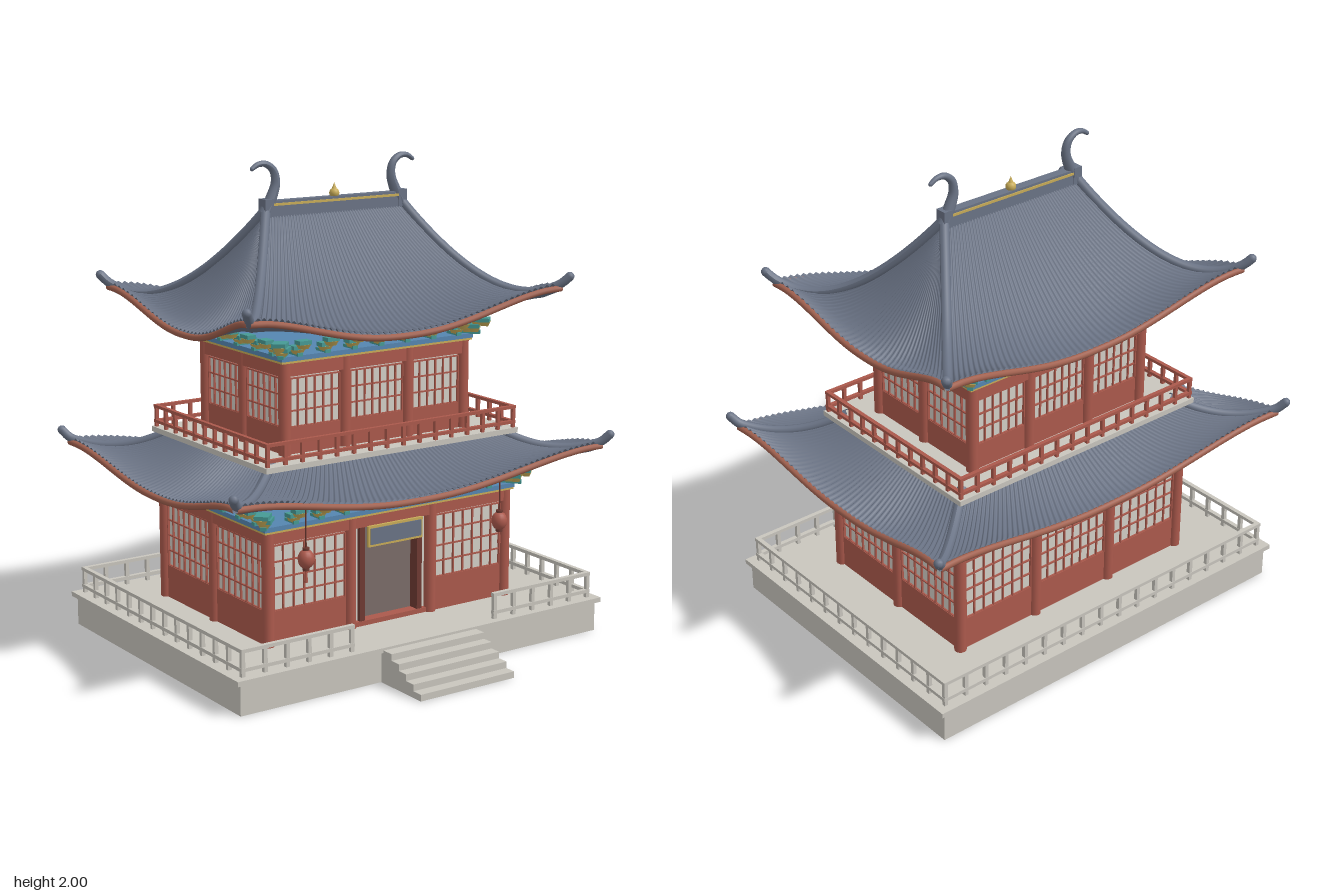
import * as THREE from 'three';
import { mergeGeometries } from 'three/addons/utils/BufferGeometryUtils.js';

const mat = (name, color, side = THREE.FrontSide) => {
  const m = new THREE.MeshStandardMaterial({ color, side });
  m.name = name;
  return m;
};

// Box geometry given by its minimum and maximum on each axis
const box = (x0, x1, y0, y1, z0, z1) =>
  new THREE.BoxGeometry(x1 - x0, y1 - y0, z1 - z0).translate((x0 + x1) / 2, (y0 + y1) / 2, (z0 + z1) / 2);
const post = (x, z, r, y0, y1, sides = 14) =>
  new THREE.CylinderGeometry(r, r, y1 - y0, sides).translate(x, (y0 + y1) / 2, z);

function add(group, name, material, ...geos) {
  const mesh = new THREE.Mesh(geos.length > 1 ? mergeGeometries(geos) : geos[0], material);
  mesh.name = name;
  group.add(mesh);
  return mesh;
}

// Tube whose radius runs from r0 to r1
function taperedTube(points, segs, r0, r1) {
  const curve = new THREE.CatmullRomCurve3(points);
  const geo = new THREE.TubeGeometry(curve, segs, 1, 10);
  const p = geo.attributes.position, v = new THREE.Vector3();
  for (let i = 0; i < p.count; i++) {
    const s = Math.floor(i / 11) / segs, c = curve.getPointAt(s);
    v.fromBufferAttribute(p, i).sub(c).multiplyScalar(r0 + (r1 - r0) * s).add(c);
    p.setXYZ(i, v.x, v.y, v.z);
  }
  geo.computeVertexNormals();
  return geo;
}

// Grid surface from a function of (u, t), facing up or down
function sheet(nu, nt, fn, flip) {
  const pos = [], uv = [], idx = [];
  for (let i = 0; i <= nu; i++) for (let j = 0; j <= nt; j++) {
    pos.push(...fn(i, j / nt).toArray());
    uv.push(i / nu, j / nt);
    if (i === nu || j === nt) continue;
    const a = i * (nt + 1) + j, b = a + 1, c = a + nt + 1, d = c + 1;
    idx.push(...(flip ? [a, c, b, c, d, b] : [a, b, c, c, b, d]));
  }
  const geo = new THREE.BufferGeometry();
  geo.setAttribute('position', new THREE.Float32BufferAttribute(pos, 3));
  geo.setAttribute('uv', new THREE.Float32BufferAttribute(uv, 2));
  geo.setIndex(idx);
  geo.computeVertexNormals();
  return geo;
}

export function createModel() {
  const M = {
    tile: mat('slate tile', 0x6a7385, THREE.DoubleSide), red: mat('red timber', 0xab594c),
    eave: mat('terracotta eave', 0xa0604e), stone: mat('pale stone', 0xc8c5bd),
    paper: mat('window paper', 0xd2cec6), dark: mat('dark timber', 0x6e3a32),
    door: mat('door shadow', 0x7a6c68), gold: mat('gold', 0xc8ac58),
    teal: mat('teal paint', 0x469a94), blue: mat('blue paint', 0x5585b0),
  };
  const model = new THREE.Group();
  model.name = 'pavilion';
  const house = new THREE.Group();
  house.name = 'house';
  house.position.z = -0.11;
  model.add(house);

  // Runs a builder once per side; local +z is outward, a = half width, d = distance out
  const sides = (name, hx, hz, build) => {
    for (let k = 0; k < 4; k++) {
      const g = new THREE.Group();
      g.name = name + ['Front', 'Left', 'Back', 'Right'][k];
      g.rotation.y = k * Math.PI / 2;
      house.add(g);
      build(g, k % 2 ? hz : hx, k % 2 ? hx : hz, k);
    }
  };

  // Platform and steps
  add(house, 'platform', M.stone, box(-0.88, 0.88, 0, 0.125, -0.66, 0.66), box(-0.9, 0.9, 0.125, 0.145, -0.675, 0.675));
  for (let i = 0; i < 5; i++)
    add(model, 'step', M.stone, box(-0.23, 0.23, i * 0.027, (i + 1) * 0.027, 0.55, 0.81 - i * 0.048));

  // Railing run between x0 and x1
  const railing = (x0, x1, z, y, h, gap, w) => {
    const n = Math.round((x1 - x0) / gap), out = [];
    for (let i = 0; i <= n; i++) {
      const x = x0 + (x1 - x0) * i / n;
      out.push(box(x - w / 2, x + w / 2, y, y + h - w / 2, z - w / 2, z + w / 2));
    }
    for (const ry of [y + h, y + h * 0.32])
      out.push(box(x0 - w * 0.6, x1 + w * 0.6, ry - w * 0.9, ry, z - w * 0.6, z + w * 0.6));
    return out;
  };
  sides('stoneRailing', 0.855, 0.635, (g, a, d, k) => {
    const runs = k ? [[-a, a]] : [[-a, -0.355], [0.355, a]];
    for (const [p, q] of runs) add(g, 'stoneRailing', M.stone, ...railing(p, q, d, 0.145, 0.11, 0.1, 0.016));
  });
  add(house, 'balconyFloor', M.stone, box(-0.62, 0.62, 0.855, 0.877, -0.445, 0.445));
  sides('balconyRailing', 0.605, 0.43, (g, a, d) =>
    add(g, 'balconyRailing', M.red, ...railing(-a, a, d, 0.877, 0.093, 0.081, 0.014)));

  // One storey: columns, panelled bays with latticed windows, beams and brackets
  function storey(s) {
    const { hx, hz, y0, sill, head, top, inner, gap } = s;
    sides(s.name, hx, hz, (g, a, d, k) => {
      const xs = k % 2 ? [-a, 0, a] : [-a, -inner, inner, a];
      add(g, 'columns', M.red, ...xs.slice(0, -1).map(x => post(x, d, 0.025, y0, top)));
      add(g, 'beam', M.red, box(-a, a, head + 0.012, top, d - 0.02, d + 0.018));
      for (let i = 0; i < xs.length - 1; i++) {
        const p = xs[i] + 0.022, q = xs[i + 1] - 0.022;
        if (s.door && k === 0 && i === 1) { doorway(g, p, q, d, y0, head); continue; }
        add(g, 'wallPanel', M.red, box(p, q, y0, sill, d - 0.02, d + 0.006));
        add(g, 'windowPaper', M.paper, box(p, q, sill, head + 0.012, d - 0.012, d - 0.004));
        const bars = [], n = Math.round((q - p) / s.pane), m = Math.round((head - sill) / 0.064);
        for (let j = 1; j < n; j++) {
          const x = p + (q - p) * j / n;
          bars.push(box(x - 0.003, x + 0.003, sill, head, d - 0.006, d + 0.004));
        }
        for (let j = 0; j <= m; j++) {
          const y = sill + (head - sill) * j / m;
          bars.push(box(p, q, y - 0.003, y + 0.003, d - 0.006, d + 0.003));
        }
        for (const x of [p, q]) bars.push(box(x - 0.007, x + 0.007, sill, head, d - 0.008, d + 0.006));
        add(g, 'windowLattice', M.red, ...bars);
      }
      // Brackets stepping outward in two tiers
      const teal = [], gold = [], n = Math.floor((a - 0.03) / gap);
      const bracket = (x, z, turn) => {
        const place = geo => geo.rotateY(turn).translate(x, top + 0.022, z);
        teal.push(place(box(-0.012, 0.012, 0, 0.014, -0.03, 0.04)));
        for (let t = 0; t < 2; t++) {
          const zt = 0.018 + t * 0.042, yt = 0.008 + t * 0.026;
          gold.push(place(new THREE.CylinderGeometry(0.031, 0.02, 0.018, 4).rotateY(Math.PI / 4).translate(0, yt + 0.009, zt)));
          teal.push(place(box(-0.028, 0.028, yt + 0.018, yt + 0.034, zt - 0.02, zt + 0.02)));
        }
      };
      for (let i = -n; i <= n; i++) bracket(i * gap, d, 0);
      bracket(a, d, Math.PI / 4);
      bracket(a + 0.022, d + 0.022, Math.PI / 4);
      add(g, 'bracketArms', M.teal, ...teal);
      add(g, 'bracketBlocks', M.gold, ...gold);
    });
    add(house, 'goldBand', M.gold, box(-hx - 0.027, hx + 0.027, top - 0.004, top + 0.005, -hz - 0.027, hz + 0.027));
    add(house, 'blueBeam', M.blue, box(-hx - 0.03, hx + 0.03, top + 0.005, top + 0.024, -hz - 0.03, hz + 0.03));
  }

  // Recessed doorway with paper sidelights and dark jambs
  function doorway(g, p, q, d, y0, head) {
    add(g, 'door', M.door, box(-0.13, 0.13, y0, head + 0.012, d - 0.05, d - 0.04));
    for (const s of [-1, 1]) {
      add(g, 'doorJamb', M.dark, box(s * 0.143 - 0.012, s * 0.143 + 0.012, y0, head + 0.012, d - 0.05, d + 0.006));
      add(g, 'sidelight', M.paper, box(s * 0.167 - 0.012, s * 0.167 + 0.012, y0, head + 0.012, d - 0.02, d - 0.012));
    }
    add(g, 'threshold', M.red, box(p, q, y0, y0 + 0.02, d - 0.04, d + 0.008));
  }
  storey({ name: 'lowerStorey', hx: 0.59, hz: 0.4, y0: 0.145, sill: 0.285, head: 0.55, top: 0.612, inner: 0.2, gap: 0.12, pane: 0.047, door: true });
  storey({ name: 'upperStorey', hx: 0.44, hz: 0.297, y0: 0.877, sill: 0.985, head: 1.18, top: 1.25, inner: 0.155, gap: 0.13, pane: 0.04 });

  // Sign board above the door, left blank
  add(house, 'signFrame', M.gold, box(-0.135, 0.135, 0.48, 0.567, 0.425, 0.437));
  add(house, 'signBoard', M.tile, box(-0.125, 0.125, 0.49, 0.557, 0.43, 0.441));

  // Hanging lanterns
  for (const x of [-0.48, 0.48]) {
    const lantern = new THREE.Group();
    lantern.name = 'lantern';
    lantern.position.set(x, 0.51, 0.505);
    house.add(lantern);
    add(lantern, 'lanternBody', M.red, new THREE.SphereGeometry(0.033, 16, 12).scale(1, 1.2, 1));
    add(lantern, 'lanternCaps', M.dark, post(0, 0, 0.014, 0.034, 0.046), post(0, 0, 0.014, -0.046, -0.034));
    add(lantern, 'lanternCord', M.dark, post(0, 0, 0.003, 0.04, 0.2, 6));
    add(lantern, 'lanternTassel', M.red, new THREE.CylinderGeometry(0.004, 0.008, 0.05, 8).translate(0, -0.07, 0));
  }

  // Curved hipped roof with ribbed tiles, eave edging and hip ridges
  function roof(r) {
    const mix = THREE.MathUtils.lerp;
    sides(r.name, 0, 0, (g, _a, _d, k) => {
      const [inA, inD, outA, outD] = k % 2 ? [r.inZ, r.inX, r.outZ, r.outX] : [r.inX, r.inZ, r.outX, r.outZ];
      const P = (u, t, off = 0) => {
        const w = Math.abs(u), fl = 0.042 * t * t;
        const y = mix(r.yTop, r.yEave, 1 - (1 - t) ** r.curve)
          + r.lift * t ** r.liftPow * THREE.MathUtils.smoothstep(w ** 1.2, 0, 1);
        return new THREE.Vector3(u * (mix(inA, outA, t) + fl), y + off, mix(inD, outD, t) + fl * w * w);
      };
      const ribs = Math.round(outA * 2 / 0.027), nu = ribs * 4, bump = [0, 0.007, 0.012, 0.007];
      add(g, 'ribbedTiles', M.tile, sheet(nu, 14, (i, t) => {
        const u = i / nu * 2 - 1;
        return P(u, t, bump[i % 4] * Math.min(1, 0.25 + mix(inA, outA, t) / outA));
      }, false));
      add(g, 'soffit', M.tile, sheet(32, 10, (i, t) => P(i / 16 - 1, t, -0.022), true));
      const eave = [], hip = [];
      for (let i = 0; i <= 20; i++) eave.push(P(i / 10 - 1, 1, -0.012));
      add(g, 'eaveEdge', M.eave, taperedTube(eave, 40, 0.013, 0.013));
      for (let i = 0; i <= 10; i++) hip.push(P(1, i / 10, 0.008));
      const tip = hip[10].clone().add(new THREE.Vector3(0.024, 0.03, 0.024));
      hip.push(tip);
      add(g, 'hipRidge', M.tile, taperedTube(hip, 36, 0.02, 0.019));
      add(g, 'hipTip', M.tile, new THREE.SphereGeometry(0.019, 10, 8).translate(tip.x, tip.y, tip.z));
    });
  }
  roof({ name: 'lowerRoof', inX: 0.55, inZ: 0.37, outX: 0.85, outZ: 0.62, yTop: 0.865, yEave: 0.71, curve: 1.35, lift: 0.105, liftPow: 2.5 });
  roof({ name: 'upperRoof', inX: 0.33, inZ: 0, outX: 0.712, outZ: 0.503, yTop: 1.8, yEave: 1.35, curve: 1.6, lift: 0.125, liftPow: 4 });

  // Main ridge, horned ends and finial
  add(house, 'ridge', M.tile, box(-0.34, 0.34, 1.775, 1.842, -0.02, 0.02));
  add(house, 'ridgeBand', M.gold, box(-0.342, 0.342, 1.822, 1.832, -0.024, 0.024));
  for (const s of [-1, 1]) {
    const pts = [[0.335, 1.79], [0.305, 1.85], [0.284, 1.91], [0.293, 1.96], [0.328, 1.988], [0.365, 1.988], [0.393, 1.972]];
    add(house, 'ridgeHorn', M.tile, taperedTube(pts.map(([x, y]) => new THREE.Vector3(s * x, y, 0)), 28, 0.028, 0.009));
    add(house, 'hornTip', M.tile, new THREE.SphereGeometry(0.009, 8, 6).translate(s * 0.393, 1.972, 0));
    add(house, 'ridgeEnd', M.tile, box(s * 0.328 - 0.02, s * 0.328 + 0.02, 1.78, 1.85, -0.025, 0.025));
  }
  add(house, 'finial', M.gold, new THREE.SphereGeometry(0.021, 14, 10).translate(0, 1.853, 0),
    new THREE.ConeGeometry(0.016, 0.04, 14).translate(0, 1.876, 0));

  return model;
}
